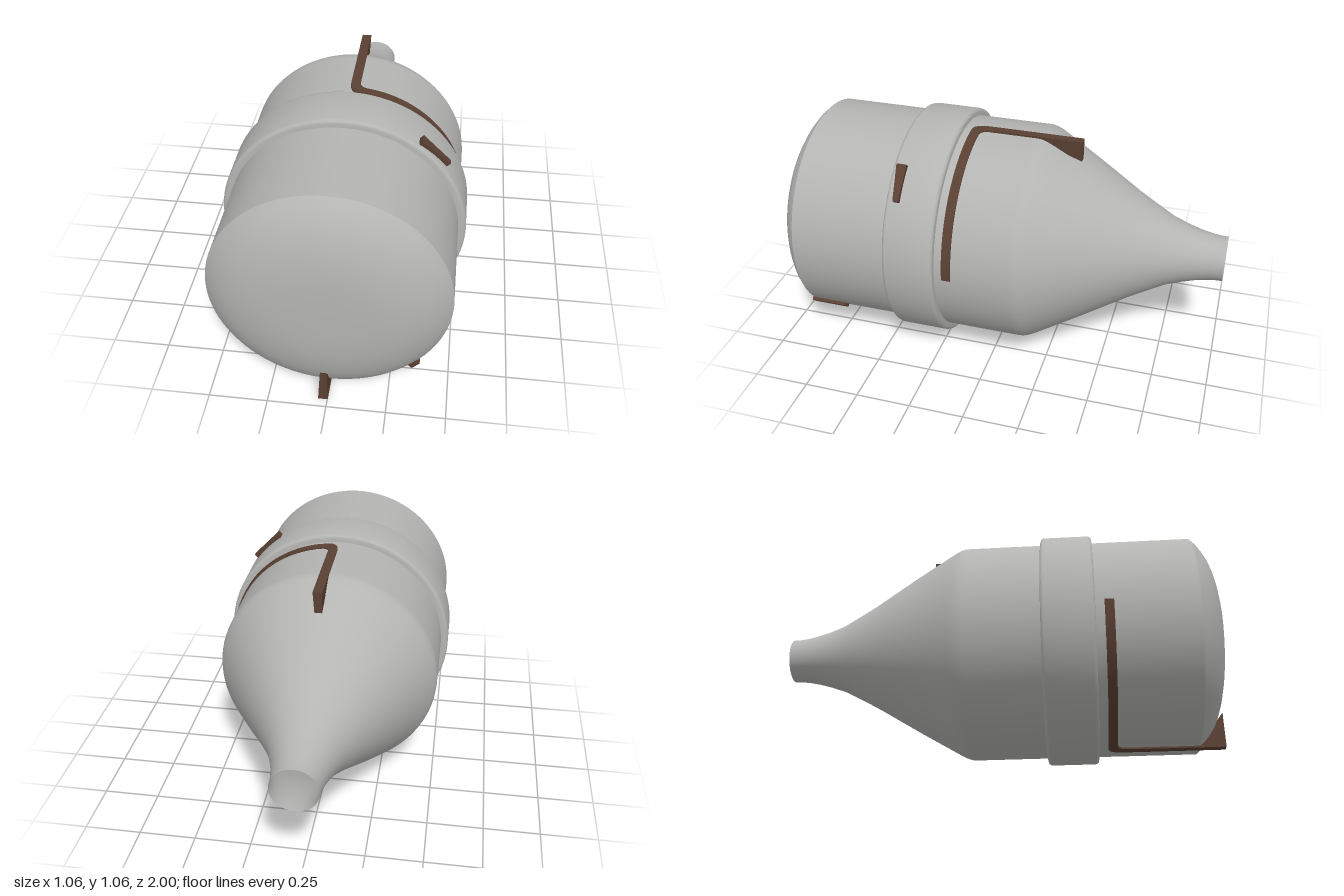
import * as THREE from 'three';
import { toCreasedNormals } from 'three/addons/utils/BufferGeometryUtils.js';

const R = 0.497;       // body radius
const OUT = 0.504;     // outer radius of the raised strips
const IN = 0.485;      // strips are sunk slightly into the body
const AXIS_Y = 0.53;

const shell = new THREE.MeshStandardMaterial({ color: 0xb4b4b2, side: THREE.DoubleSide });
shell.name = 'shellGrey';
const brown = new THREE.MeshStandardMaterial({ color: 0x5a4033 });
brown.name = 'stripBrown';

function add(parent, name, geometry, material) {
  const mesh = new THREE.Mesh(geometry, material);
  mesh.name = name;
  parent.add(mesh);
  return mesh;
}

// Surface of revolution about z from [radius, z] points
function revolve(points) {
  const g = new THREE.LatheGeometry(points.map(([r, z]) => new THREE.Vector2(r, z)), 96);
  return g.rotateX(Math.PI / 2);
}

// Move every vertex by a rule
function warp(geometry, rule) {
  const p = geometry.attributes.position;
  const v = new THREE.Vector3();
  for (let i = 0; i < p.count; i++) {
    rule(v.fromBufferAttribute(p, i));
    p.setXYZ(i, v.x, v.y, v.z);
  }
  geometry.computeVertexNormals();
  return geometry;
}

// Wrap x (arc length) and y (radius) around the axis, starting at the top
const wrap = (v) => {
  const a = v.x / R, r = v.y;
  v.x = Math.sin(a) * r;
  v.y = Math.cos(a) * r;
};

// Point reflection with the winding kept facing outward
function invert(geometry) {
  const g = geometry.index ? geometry.toNonIndexed() : geometry;
  const p = g.attributes.position;
  const a = new THREE.Vector3(), b = new THREE.Vector3();
  for (let i = 0; i < p.count; i += 3) {
    a.fromBufferAttribute(p, i + 1).negate();
    b.fromBufferAttribute(p, i + 2).negate();
    p.setXYZ(i, -p.getX(i), -p.getY(i), -p.getZ(i));
    p.setXYZ(i + 1, b.x, b.y, b.z);
    p.setXYZ(i + 2, a.x, a.y, a.z);
  }
  g.computeVertexNormals();
  return g;
}

// L-shaped strip: quarter arc, rounded elbow and a fin; the bend lies at z = 0..0.04
function hookStrip(name, finProfile, flip) {
  const group = new THREE.Group();
  group.name = name;
  const finish = (g) => toCreasedNormals(flip ? invert(g) : g, 0.5);
  const w = 0.04, x0 = -0.005, k = 0.075, end = R * Math.PI / 2;

  const arc = new THREE.BoxGeometry(end - k, OUT - IN, w, 36, 1, 1);
  arc.translate((end + k) / 2, (OUT + IN) / 2, w / 2);
  add(group, 'arcStrip', finish(warp(arc, wrap)), brown);

  // Elbow drawn in x and -z, then laid on the surface
  const s = new THREE.Shape();
  s.moveTo(x0, k);
  s.lineTo(x0, 0.035);
  s.quadraticCurveTo(x0, -w, 0.04, -w);
  s.lineTo(k, -w);
  s.lineTo(k, 0);
  s.quadraticCurveTo(x0 + w, 0, x0 + w, 0.04);
  s.lineTo(x0 + w, k);
  const elbow = new THREE.ExtrudeGeometry(s, { depth: OUT - IN, bevelEnabled: false, curveSegments: 8 });
  elbow.rotateX(-Math.PI / 2).translate(0, IN, 0);
  add(group, 'elbow', finish(warp(elbow, wrap)), brown);

  // Fin profile in (-z, radius), tapering towards the axis
  const f = new THREE.Shape(finProfile.map(([d, r]) => new THREE.Vector2(d, r)));
  const fin = new THREE.ExtrudeGeometry(f, { depth: w, bevelEnabled: false });
  fin.rotateY(Math.PI / 2).translate(x0, 0, 0);
  add(group, 'fin', finish(warp(fin, (v) => { v.x *= v.y / R; })), brown);
  return group;
}

export function createModel() {
  const model = new THREE.Group();
  model.name = 'canister';
  const body = new THREE.Group();
  body.name = 'body';
  body.position.y = AXIS_Y;
  model.add(body);

  // Barrel running into the tapered, open neck
  add(body, 'barrelAndNeck', revolve([
    [0.1, -1], [0.101, -0.97], [0.106, -0.93], [0.116, -0.88], [0.133, -0.82], [0.158, -0.75],
    [0.19, -0.69], [0.222, -0.63], [0.25, -0.58], [0.365, -0.39], [0.455, -0.235], [0.478, -0.195],
    [0.49, -0.17], [0.496, -0.15], [R, -0.13], [R, 0.2], [R, 0.87],
  ]), shell);

  // Domed front
  add(body, 'frontDome', revolve([
    [R, 0.87], [0.475, 0.894], [0.445, 0.918], [0.41, 0.94], [0.37, 0.958], [0.325, 0.973],
    [0.275, 0.985], [0.22, 0.993], [0.16, 0.998], [0.08, 1], [0, 1],
  ]), shell);

  // Raised band with softened edges
  const band = revolve([
    [R - 0.01, 0.2], [0.515, 0.2], [0.522, 0.202], [0.528, 0.208], [0.53, 0.216],
    [0.53, 0.414], [0.528, 0.422], [0.522, 0.428], [0.515, 0.43], [R - 0.01, 0.43],
  ]);
  add(body, 'band', toCreasedNormals(band, 0.7), shell);

  // Upper strip reaches over the shoulder, lower strip over the dome
  const upper = hookStrip('upperStrip',
    [[0.07, IN], [0.28, IN - 0.01], [0.46, 0.408], [0.46, OUT], [0.07, OUT]], false);
  upper.position.z = 0.125;
  const lower = hookStrip('lowerStrip',
    [[0.07, IN], [0.35, IN - 0.01], [0.42, 0.41], [0.472, 0.34], [0.472, OUT], [0.07, OUT]], true);
  lower.position.z = 0.51;
  body.add(upper, lower);

  // Tapered tab on the band, upper side
  const tab = warp(new THREE.BoxGeometry(0.165, 0.024, 0.045), (v) => {
    if (v.x > 0 && v.z > 0) v.z -= 0.02;
  });
  tab.translate(0, 0.534, 0.3875).rotateZ(-Math.PI / 4);
  add(body, 'bandTab', tab, brown);

  // Long tab near the front, lower side
  const peg = new THREE.BoxGeometry(0.045, 0.022, 0.17);
  peg.translate(0, 0.5, 0.795).rotateZ(-Math.PI * 0.75);
  add(body, 'frontTab', peg, brown);

  return model;
}
